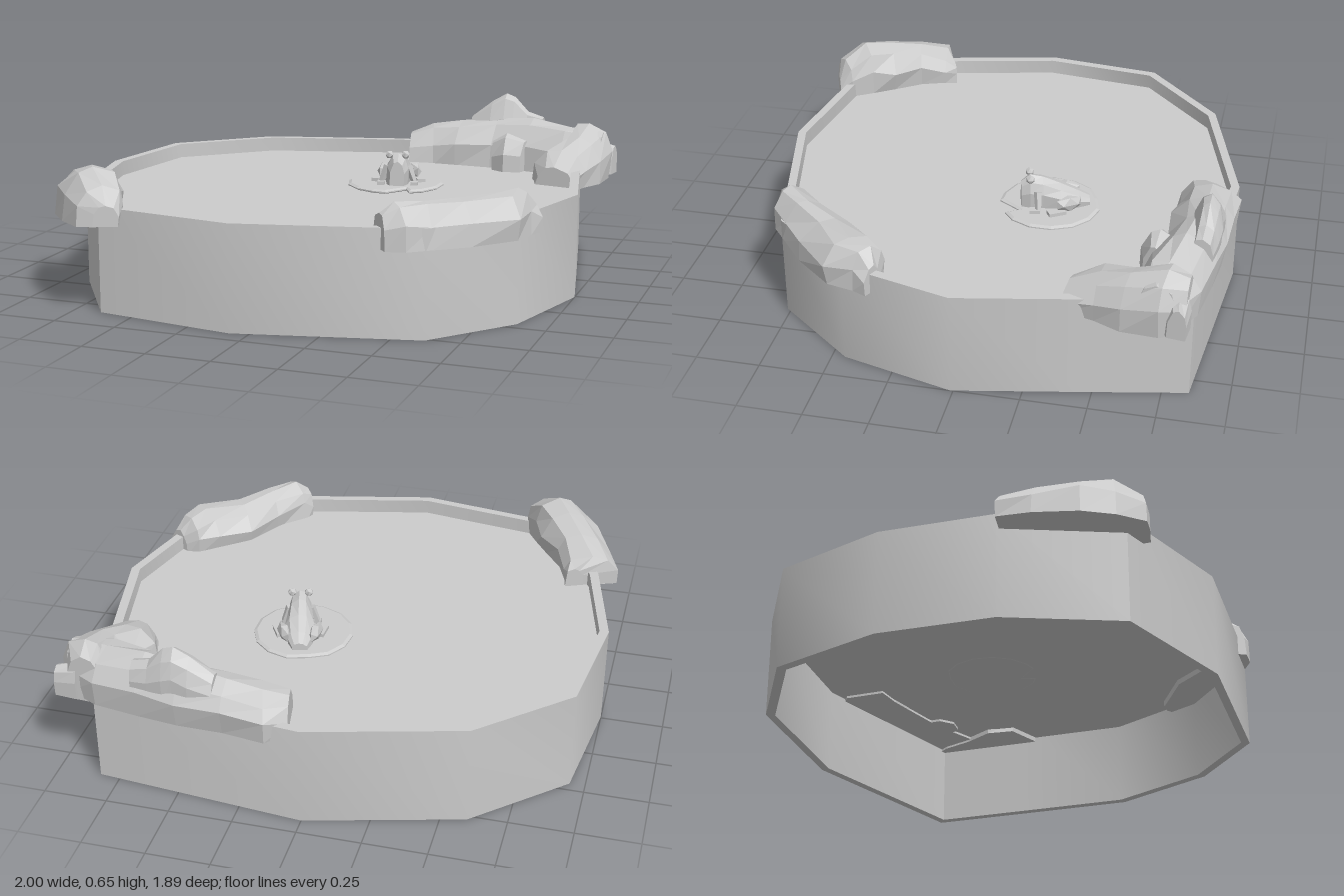
import * as THREE from 'three';
import { toCreasedNormals } from 'three/addons/utils/BufferGeometryUtils.js';

const grey = new THREE.MeshStandardMaterial({ color: 0xcccccc });
const greyFlat = new THREE.MeshStandardMaterial({ color: 0xcccccc, flatShading: true });
const greyDouble = new THREE.MeshStandardMaterial({ color: 0xcccccc, side: THREE.DoubleSide });

// pond outline as [x, z]
const OUTLINE = [[0, -0.93], [-0.6, -0.77], [-0.94, -0.46], [-1, 0.01], [-0.9, 0.45], [-0.64, 0.84],
  [-0.075, 0.925], [0.62, 0.765], [0.88, 0.45], [1, 0.01], [0.91, -0.45], [0.83, -0.85]];
const WATER_Y = 0.35;

function add(parent, name, geometry, material, x = 0, y = 0, z = 0) {
  const mesh = new THREE.Mesh(geometry, material);
  mesh.name = name;
  mesh.position.set(x, y, z);
  parent.add(mesh);
  return mesh;
}

const flatPoints = (pts, s = 1) => pts.map(([x, z]) => new THREE.Vector2(x * s, -z * s));

function seeded(seed) {
  return () => {
    seed = (seed * 16807) % 2147483647;
    return seed / 2147483647 - 0.5;
  };
}

// loft through stations [leftX, leftZ, rightX, rightZ, topY], left and right as seen walking along
function loft(rows, base, jitter = 0, seed = 7) {
  const rnd = seeded(seed * 7919);
  const section = [[0.04, 0], [0, 0.5], [0.15, 0.83], [0.45, 1], [0.72, 0.93], [0.97, 0.55], [1, 0]];
  const n = section.length, pos = [], index = [];
  for (const [lx, lz, rx, rz, top] of rows) {
    for (const [t, h] of section) {
      const u = t + rnd() * jitter * 2;
      const k = h === 0 ? 0 : h + rnd() * jitter * (h === 1 ? 0.3 : 2);
      pos.push(lx + (rx - lx) * u, base + (top - base) * k, lz + (rz - lz) * u);
    }
  }
  for (let i = 0; i < rows.length - 1; i++) {
    for (let j = 0; j < n; j++) {
      const a = i * n + j, b = i * n + (j + 1) % n;
      index.push(a, b, a + n, b, b + n, a + n);
    }
  }
  const e = (rows.length - 1) * n;
  for (let j = 1; j < n - 1; j++) index.push(0, j + 1, j, e, e + j, e + j + 1);
  const g = new THREE.BufferGeometry();
  g.setAttribute('position', new THREE.Float32BufferAttribute(pos, 3));
  g.setIndex(index);
  g.computeVertexNormals();
  return g;
}

function makeBasin() {
  const basin = new THREE.Group();
  basin.name = 'basin';
  const ring = new THREE.Shape(flatPoints(OUTLINE));
  ring.holes.push(new THREE.Path(flatPoints(OUTLINE, 0.963)));
  const wall = new THREE.ExtrudeGeometry(ring, { depth: 0.41, bevelEnabled: false });
  wall.rotateX(-Math.PI / 2);
  add(basin, 'wall', toCreasedNormals(wall, 0.77), grey);
  const water = new THREE.ShapeGeometry(new THREE.Shape(flatPoints(OUTLINE, 0.965)));
  water.rotateX(-Math.PI / 2);
  add(basin, 'water', water, greyDouble, 0, WATER_Y, 0);
  return basin;
}

function makeRocks() {
  const rocks = new THREE.Group();
  rocks.name = 'rocks';
  const rock = (name, rows, base, jitter, seed) => add(rocks, name, loft(rows, base, jitter, seed), greyFlat);

  rock('frontRightRock', [
    [-0.77, 0.41, -0.84, 0.44, 0.43], [-0.76, 0.46, -0.98, 0.49, 0.47], [-0.72, 0.56, -0.93, 0.61, 0.51],
    [-0.64, 0.66, -0.85, 0.76, 0.54], [-0.58, 0.74, -0.77, 0.86, 0.555], [-0.53, 0.82, -0.69, 0.945, 0.5],
    [-0.53, 0.88, -0.62, 0.92, 0.43]], 0.35, 0.07, 3);

  rock('frontLeftRock', [
    [0.42, 0.75, 0.49, 0.83, 0.46], [0.44, 0.71, 0.56, 0.81, 0.5], [0.53, 0.59, 0.64, 0.75, 0.49],
    [0.62, 0.46, 0.75, 0.64, 0.48], [0.72, 0.35, 0.9, 0.51, 0.495], [0.8, 0.3, 0.92, 0.4, 0.49],
    [0.86, 0.3, 0.94, 0.34, 0.44]], 0.33, 0.07, 5);

  // the back rocks form an L around the sharp corner
  rock('backRock', [
    [0.06, -0.87, 0.09, -0.7, 0.47], [0.13, -0.95, 0.2, -0.7, 0.505], [0.3, -0.93, 0.3, -0.69, 0.53],
    [0.48, -0.92, 0.46, -0.7, 0.55], [0.64, -0.9, 0.62, -0.67, 0.565], [0.82, -0.87, 0.78, -0.62, 0.54],
    [0.95, -0.8, 0.95, -0.64, 0.53]], 0.34, 0.05, 11);
  rock('cornerRock', [
    [0.94, -0.83, 0.78, -0.84, 0.53], [0.98, -0.74, 0.76, -0.78, 0.56], [0.97, -0.6, 0.74, -0.65, 0.52],
    [0.92, -0.5, 0.7, -0.52, 0.48], [0.89, -0.38, 0.73, -0.41, 0.43]], 0.33, 0.05, 13);
  rock('peakRock', [
    [0.34, -0.9, 0.34, -0.8, 0.55], [0.43, -0.91, 0.43, -0.79, 0.62], [0.49, -0.91, 0.49, -0.8, 0.655],
    [0.53, -0.91, 0.53, -0.8, 0.64], [0.59, -0.9, 0.59, -0.8, 0.58], [0.66, -0.89, 0.66, -0.8, 0.56]], 0.42, 0.03, 17);
  rock('smallRock', [
    [0.47, -0.72, 0.48, -0.65, 0.47], [0.54, -0.74, 0.54, -0.61, 0.51], [0.64, -0.72, 0.61, -0.63, 0.48]], 0.34, 0.05, 19);
  rock('cornerStone', [
    [0.9, -0.85, 0.9, -0.74, 0.48], [0.99, -0.84, 0.98, -0.77, 0.46]], 0.34, 0.03, 23);
  return rocks;
}

// heart-shaped pad with a notch, slightly bevelled
function makeLilyPad() {
  const pts = [[0.27, -0.1], [0.21, -0.01]];
  for (let i = 0; i <= 12; i++) {
    const a = 1.75 + (i / 12) * 5.2;
    const r = i === 6 ? 0.185 : 0.195;
    pts.push([0.19 + Math.cos(a) * r, -0.205 + Math.sin(a) * r]);
  }
  pts.push([0.3, -0.05]);
  const g = new THREE.ExtrudeGeometry(new THREE.Shape(flatPoints(pts)), {
    depth: 0.005, bevelEnabled: true, bevelThickness: 0.006, bevelSize: 0.012, bevelOffset: -0.008, bevelSegments: 1 });
  g.rotateX(-Math.PI / 2);
  const pad = new THREE.Mesh(g, greyFlat);
  pad.name = 'lilyPad';
  pad.position.y = WATER_Y + 0.004;
  return pad;
}

function makeFrog() {
  const frog = new THREE.Group();
  frog.name = 'frog';
  // body from rump to nose
  const body = [[-0.145, 0.03, 0.035], [-0.1, 0.05, 0.06], [-0.03, 0.06, 0.095], [0.04, 0.05, 0.125],
    [0.09, 0.045, 0.135], [0.125, 0.03, 0.105]].map(([z, w, h]) => [w, z, -w, z, h]);
  add(frog, 'body', loft(body, 0.005), greyFlat);
  for (const s of [1, -1]) {
    add(frog, 'eye', new THREE.IcosahedronGeometry(0.018, 0), greyFlat, s * 0.033, 0.128, 0.09);
    const thigh = add(frog, 'thigh', new THREE.IcosahedronGeometry(0.04, 0), greyFlat, s * 0.062, 0.035, -0.06);
    thigh.scale.set(0.6, 0.85, 1.5);
    thigh.rotation.y = s * 0.35;
    const foot = add(frog, 'hindFoot', new THREE.BoxGeometry(0.035, 0.014, 0.07), greyFlat, s * 0.085, 0.008, -0.01);
    foot.rotation.y = s * 0.3;
    const arm = add(frog, 'frontLeg', new THREE.CylinderGeometry(0.017, 0.012, 0.08, 5), greyFlat, s * 0.056, 0.04, 0.06);
    arm.rotation.z = s * 0.35;
    add(frog, 'frontFoot', new THREE.BoxGeometry(0.03, 0.014, 0.04), greyFlat, s * 0.068, 0.008, 0.075);
  }
  frog.position.set(0.2, WATER_Y + 0.014, -0.215);
  frog.rotation.y = 0.25;
  return frog;
}

export function createModel() {
  const model = new THREE.Group();
  model.name = 'pond';
  model.add(makeBasin(), makeRocks(), makeLilyPad(), makeFrog());
  return model;
}
